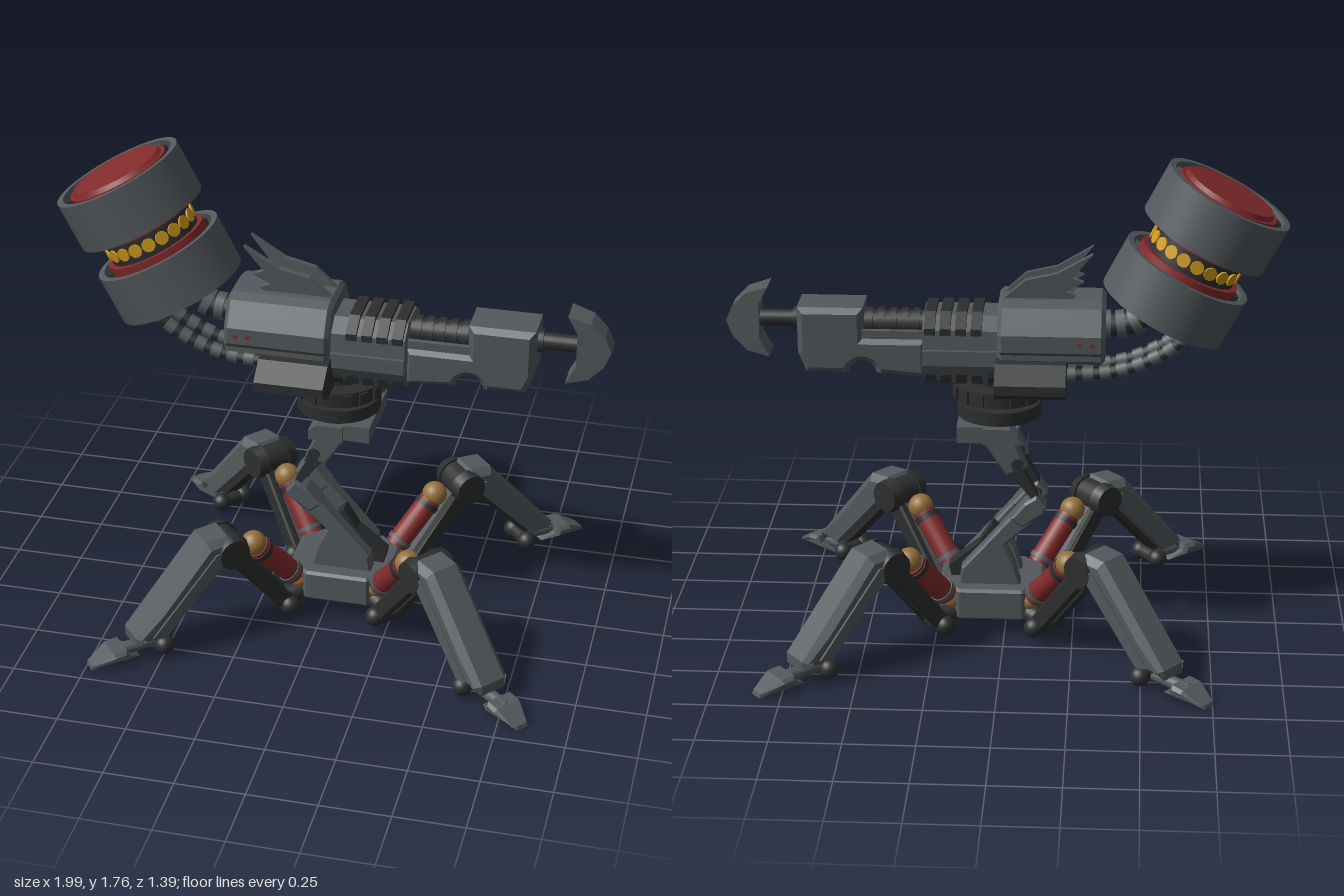
import * as THREE from 'three';
import { toCreasedNormals } from 'three/addons/utils/BufferGeometryUtils.js';

const mat = (name, color) => Object.assign(new THREE.MeshStandardMaterial({ color }), { name });

export function createModel() {
  const model = new THREE.Group();
  model.name = 'walkingTurret';
  const grey = mat('steel grey', 0x53595d), dark = mat('dark steel', 0x2d2e2f);
  const red = mat('red', 0x822a2b), yellow = mat('amber', 0xd09a1c), brass = mat('brass', 0x94713a);
  const V = (x, y, z = 0) => new THREE.Vector3(x, y, z);

  const add = (parent, name, geo, material, x = 0, y = 0, z = 0) => {
    const m = new THREE.Mesh(geo, material);
    m.name = name;
    m.position.set(x, y, z);
    parent.add(m);
    return m;
  };
  const outline = pts => new THREE.Shape(pts.map(p => new THREE.Vector2(p[0], p[1])));
  const extrude = (shape, depth, bevel = 0) => {
    const g = new THREE.ExtrudeGeometry(shape, {
      depth: depth - 2 * bevel, bevelEnabled: bevel > 0, bevelSize: bevel, bevelThickness: bevel,
      bevelOffset: -bevel, bevelSegments: 1, curveSegments: 24,
    });
    return g.translate(0, 0, bevel - depth / 2);
  };
  // side outline (x, y) given thickness across z
  const slab = (p, name, pts, depth, material, z = 0, bevel = 0) =>
    add(p, name, extrude(outline(pts), depth, bevel), material, 0, 0, z);
  // half cross-section (z, y), mirrored and run along x
  const prism = (p, name, half, x0, x1, material, bevel = 0) => {
    const pts = [...half, ...half.map(([z, y]) => [-z, y]).reverse()];
    const g = extrude(outline(pts), x1 - x0, bevel).rotateY(Math.PI / 2);
    return add(p, name, g, material, (x0 + x1) / 2);
  };
  const box = (p, name, w, h, d, material, x, y, z) => add(p, name, new THREE.BoxGeometry(w, h, d), material, x, y, z);
  // round bar between two points
  const bar = (p, name, a, b, r, material, r2 = r, sides = 20) => {
    const dir = b.clone().sub(a), mid = a.clone().add(b).multiplyScalar(0.5);
    const m = add(p, name, new THREE.CylinderGeometry(r2, r, dir.length(), sides), material, mid.x, mid.y, mid.z);
    m.quaternion.setFromUnitVectors(V(0, 1), dir.normalize());
    return m;
  };
  const ball = (p, name, r, material, x, y, z = 0) => add(p, name, new THREE.SphereGeometry(r, 20, 14), material, x, y, z);

  // ---- four legs, each built along its own +x ----
  const buildLeg = angle => {
    const leg = new THREE.Group();
    leg.name = 'leg';
    leg.position.x = 0.05;
    leg.rotation.y = angle;
    model.add(leg);
    bar(leg, 'hipLink', V(0.12, 0.09), V(0.26, 0.065), 0.035, dark);
    bar(leg, 'hipJoint', V(0.26, 0.062, -0.06), V(0.26, 0.062, 0.06), 0.036, dark);
    for (const s of [-1, 1]) {
      ball(leg, 'hipCap', 0.037, dark, 0.26, 0.062, s * 0.055);
      slab(leg, 'thighPlate', [[0.225, 0.07], [0.29, 0.05], [0.53, 0.35], [0.47, 0.39]], 0.035, dark, s * 0.042, 0.008);
      bar(leg, 'kneeCap', V(0.49, 0.362, s * 0.045), V(0.49, 0.362, s * 0.085), 0.068, dark, 0.058, 16);
      ball(leg, 'ankleWheel', 0.036, dark, 0.765, 0.042, s * 0.05);
      // raised side plate on the shin
      slab(leg, 'shinSidePlate', [[0.49, 0.38], [0.56, 0.38], [0.82, 0.1], [0.77, 0.09]], 0.01, grey, s * 0.078);
    }
    slab(leg, 'thighCore', [[0.235, 0.075], [0.28, 0.05], [0.51, 0.34], [0.465, 0.37]], 0.06, grey);
    bar(leg, 'kneeAxle', V(0.49, 0.362, -0.05), V(0.49, 0.362, 0.05), 0.06, dark);
    slab(leg, 'shin', [[0.475, 0.4], [0.505, 0.432], [0.59, 0.425], [0.875, 0.1], [0.875, 0.062], [0.855, 0.075],
      [0.79, 0.07]], 0.15, grey, 0, 0.025);
    slab(leg, 'shinGroove', [[0.475, 0.37], [0.5, 0.37], [0.79, 0.075], [0.765, 0.07]], 0.07, dark);
    // shock absorber
    bar(leg, 'pistonRod', V(0.18, 0.12), V(0.25, 0.2), 0.03, brass);
    bar(leg, 'pistonBody', V(0.215, 0.155), V(0.36, 0.315), 0.043, red);
    bar(leg, 'pistonLowerBand', V(0.225, 0.166), V(0.237, 0.179), 0.047, grey);
    bar(leg, 'pistonUpperBand', V(0.338, 0.291), V(0.352, 0.306), 0.047, dark);
    ball(leg, 'pistonHead', 0.047, brass, 0.378, 0.335);
    ball(leg, 'pistonFoot', 0.035, brass, 0.19, 0.13);
    // ankle and toe
    bar(leg, 'ankleAxle', V(0.765, 0.042, -0.05), V(0.765, 0.042, 0.05), 0.028, dark);
    bar(leg, 'toeRod', V(0.765, 0.042), V(0.95, 0.035), 0.024, grey);
    const toe = slab(leg, 'toe', [[0.85, 0], [1.04, 0], [1.035, 0.014], [0.96, 0.055], [0.91, 0.06], [0.9, 0.035]], 0.12, grey, 0, 0.012);
    const pos = toe.geometry.attributes.position;
    for (let i = 0; i < pos.count; i++) {
      const x = pos.getX(i);
      pos.setZ(i, pos.getZ(i) * (x > 1 ? 0.5 : x < 0.88 ? 0.45 : 1));
    }
    toe.geometry.computeVertexNormals();
  };
  const spread = 0.709;
  [spread, -spread, Math.PI - spread, Math.PI + spread].forEach(buildLeg);

  // ---- base and folded arm ----
  const octagon = [[-0.065, 0.16], [0.165, 0.16], [0.24, 0.09], [0.24, -0.09], [0.165, -0.16], [-0.065, -0.16], [-0.14, -0.09], [-0.14, 0.09]];
  add(model, 'base', extrude(outline(octagon), 0.12, 0.01).rotateX(-Math.PI / 2), grey, 0, 0.12);
  slab(model, 'brace', [[-0.02, 0.17], [0.2, 0.17], [0.21, 0.22], [0.1, 0.31], [0.05, 0.39], [0.02, 0.36]], 0.06, dark);
  for (const s of [-1, 1]) {
    slab(model, 'lowerArm', [[-0.15, 0.49], [-0.115, 0.535], [-0.075, 0.51], [0.085, 0.325], [0.16, 0.24], [0.17, 0.17],
      [-0.06, 0.17], [-0.035, 0.26], [0.0, 0.335], [-0.14, 0.46]], 0.065, grey, s * 0.068, 0.008);
    slab(model, 'elbow', [[-0.15, 0.49], [-0.115, 0.535], [-0.07, 0.505], [-0.02, 0.445], [-0.06, 0.41], [-0.14, 0.465]],
      0.085, grey, s * 0.07, 0.008);
    slab(model, 'forearmStrut', [[-0.13, 0.51], [-0.095, 0.52], [0.0, 0.64], [-0.01, 0.69], [-0.05, 0.66]], 0.05, dark, s * 0.07);
    slab(model, 'upperArm', [[-0.08, 0.64], [-0.045, 0.72], [-0.05, 0.8], [0.1, 0.8], [0.08, 0.74], [-0.005, 0.61]], 0.065, grey, s * 0.068, 0.008);
    bar(model, 'armPin', V(-0.045, 0.655, s * 0.03), V(-0.045, 0.655, s * 0.11), 0.022, dark);
  }
  bar(model, 'elbowAxle', V(-0.11, 0.495, -0.1), V(-0.11, 0.495, 0.1), 0.02, dark);

  // ---- turntable ----
  slab(model, 'mountPlate', [[-0.05, 0.755], [0.075, 0.755], [0.075, 0.815], [-0.02, 0.815], [-0.05, 0.79]], 0.34, grey);
  slab(model, 'mountPlateFront', [[0.075, 0.755], [0.17, 0.755], [0.17, 0.815], [0.075, 0.815]], 0.3, grey);
  bar(model, 'turntableHub', V(0.025, 0.8), V(0.025, 0.97), 0.1, dark);
  bar(model, 'turntableLower', V(0.025, 0.82), V(0.025, 0.87), 0.152, dark, 0.152, 32);
  bar(model, 'turntableUpper', V(0.025, 0.89), V(0.025, 0.945), 0.162, dark, 0.162, 32);
  for (let i = 0; i < 16; i++) {
    const a = i * Math.PI / 8;
    const tooth = box(model, 'turntableTooth', 0.02, 0.045, 0.035, dark, 0.025 + Math.cos(a) * 0.16, 0.917, -Math.sin(a) * 0.16);
    tooth.rotation.y = a;
  }

  // ---- gun body ----
  prism(model, 'housing', [[0.08, 1.27], [0.12, 1.255], [0.175, 1.17], [0.175, 1.08], [0.12, 1.05]], -0.355, 0.025, grey, 0.015);
  prism(model, 'underBody', [[0.12, 1.07], [0.12, 0.99], [0.09, 0.95]], -0.22, 0.06, dark);
  prism(model, 'sidePods', [[0.13, 1.08], [0.2, 1.075], [0.275, 1.02], [0.275, 0.985], [0.2, 0.945]], -0.22, 0.03, dark);
  prism(model, 'midBody', [[0.07, 1.21], [0.13, 1.17], [0.14, 1.05], [0.1, 0.975]], 0.02, 0.29, grey);
  prism(model, 'midSideRail', [[0.15, 1.1], [0.15, 1.045]], 0.02, 0.29, grey);
  for (let i = 0; i < 4; i++) {
    const x = 0.08 + i * 0.055;
    prism(model, 'rib', [[0.075, 1.225], [0.14, 1.18], [0.14, 1.155]], x, x + 0.038, dark);
    prism(model, 'lowerRib', [[0.115, 1.0], [0.105, 0.965]], x, x + 0.038, dark);
  }
  for (const s of [-1, 1]) {
    slab(model, 'fin', [[-0.307, 1.44], [-0.18, 1.365], [-0.07, 1.34], [0.025, 1.255], [-0.22, 1.255], [-0.25, 1.285],
      [-0.21, 1.3], [-0.275, 1.335], [-0.235, 1.35]], 0.022, grey, s * 0.036).rotation.x = -s * 0.06;
    for (const x of [-0.31, -0.265]) box(model, 'sensorEye', 0.014, 0.014, 0.008, red, x, 1.14, s * 0.176);
    box(model, 'housingSeam', 0.36, 0.008, 0.008, dark, -0.165, 1.105, s * 0.173);
    box(model, 'barrelRail', 0.22, 0.03, 0.02, grey, 0.4, 1.135, s * 0.075);
  }
  // ---- barrel and muzzle ----
  const muzzle = outline([[0.28, 1.12], [0.505, 1.12], [0.505, 1.23], [0.74, 1.23], [0.74, 1.06], [0.71, 0.99], [0.56, 0.99]]);
  muzzle.absarc(0.51, 0.985, 0.05, 0.1, Math.PI - 0.1, false);
  muzzle.lineTo(0.28, 0.975);
  add(model, 'muzzle', extrude(muzzle, 0.185, 0.02), grey);
  bar(model, 'barrel', V(0.27, 1.155), V(0.52, 1.155), 0.046, dark);
  for (let i = 0; i < 5; i++) bar(model, 'barrelRing', V(0.305 + i * 0.042, 1.155), V(0.33 + i * 0.042, 1.155), 0.054, dark);
  bar(model, 'harpoonRod', V(0.72, 1.165), V(0.89, 1.165), 0.03, dark);
  bar(model, 'muzzleCollar', V(0.735, 1.165), V(0.76, 1.165), 0.042, dark);
  const tip = slab(model, 'harpoonTip', [[0.845, 1.295], [0.925, 1.27], [0.975, 1.22], [1.0, 1.165], [0.975, 1.105], [0.925, 1.055],
    [0.845, 1.035], [0.88, 1.1], [0.88, 1.23]], 0.11, grey);
  const tp = tip.geometry.attributes.position;
  for (let i = 0; i < tp.count; i++) tp.setZ(i, tp.getZ(i) * (1 - 2 * Math.max(0, tp.getX(i) - 0.87)));
  tip.geometry.computeVertexNormals();

  // ---- segmented cables ----
  const cable = (name, pts, r, rings) => {
    const curve = new THREE.CatmullRomCurve3(pts);
    add(model, name, new THREE.TubeGeometry(curve, 32, r * 0.8, 12), dark);
    for (let i = 0; i < rings; i++) {
      const c = curve.getPointAt((i + 0.5) / rings), t = curve.getTangentAt((i + 0.5) / rings).multiplyScalar(0.3 * curve.getLength() / rings);
      bar(model, name + 'Ring', c.clone().sub(t), c.clone().add(t), r, grey, r, 14);
    }
  };
  for (const s of [-1, 1])
    cable('feedCable', [V(-0.66, 1.22, s * 0.05), V(-0.62, 1.12, s * 0.05), V(-0.52, 1.05, s * 0.05), V(-0.38, 1.0, s * 0.05), V(-0.2, 0.985, s * 0.05)], 0.026, 9);
  cable('neck', [V(-0.54, 1.28), V(-0.48, 1.19), V(-0.42, 1.165), V(-0.33, 1.16)], 0.052, 5);

  // ---- ammunition drum ----
  const drum = new THREE.Group();
  drum.name = 'drum';
  drum.position.set(-0.667, 1.43, 0);
  drum.rotation.z = 0.48;
  model.add(drum);
  const shell = new THREE.Shape().absarc(0, 0, 0.238, 0, Math.PI * 2, false);
  shell.holes.push(new THREE.Path().absarc(0, 0, 0.215, 0, Math.PI * 2, true));
  const shellGeo = toCreasedNormals(extrude(shell, 0.185).rotateX(-Math.PI / 2), 0.6);
  bar(drum, 'drumCore', V(0, -0.2), V(0, 0.2), 0.168, dark, 0.168, 40);
  for (const s of [-1, 1]) {
    add(drum, 'drumShell', shellGeo, grey, 0, s * 0.152);
    bar(drum, 'drumCanister', V(0, s * 0.042), V(0, s * 0.24), 0.188, red, 0.188, 40);
    bar(drum, 'drumCap', V(0, s * 0.235), V(0, s * 0.256), 0.178, red, 0.165, 40);
    for (let i = 0; i < 8; i++) {
      const a = i * Math.PI / 4 + 0.2;
      box(drum, 'drumSpacer', 0.045, 0.15, 0.06, dark, Math.cos(a) * 0.2, s * 0.152, -Math.sin(a) * 0.2).rotation.y = a;
    }
  }
  bar(drum, 'drumSocket', V(0, -0.27), V(0, -0.25), 0.08, dark);
  for (let i = 0; i < 20; i++) {
    const a = i * Math.PI / 10, c = V(Math.cos(a), 0, Math.sin(a));
    bar(drum, 'shellWindow', c.clone().multiplyScalar(0.165), c.clone().multiplyScalar(0.173), 0.025, yellow, 0.025, 10);
  }
  return model;
}
